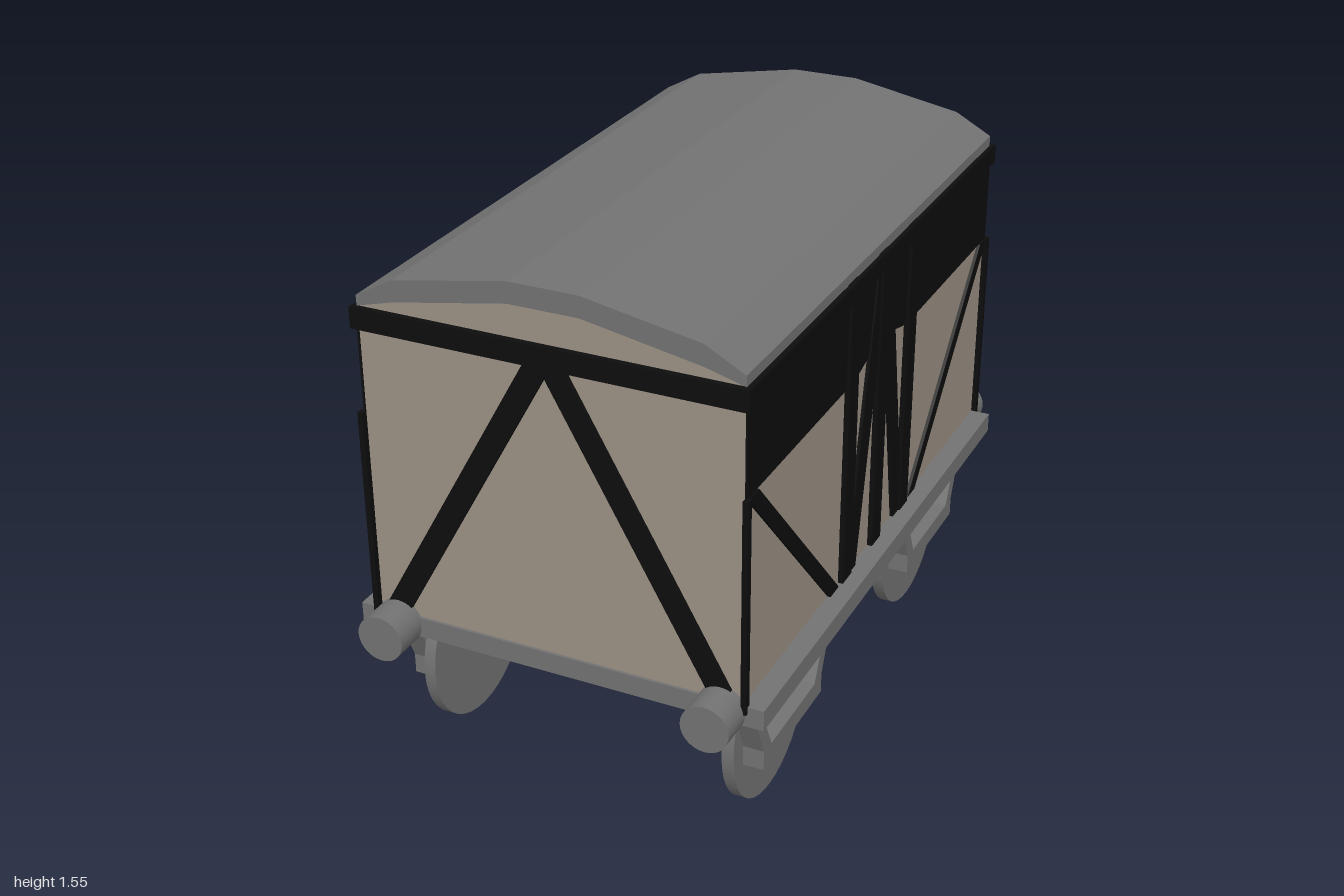
import * as THREE from 'three';

const paint = (name, color) => {
  const m = new THREE.MeshStandardMaterial({ color });
  m.name = name;
  return m;
};

export function createModel() {
  const grey = paint('grey metal', 0x727272);
  const beige = paint('beige planks', 0x9a8f83);
  const black = paint('black framing', 0x0d0d0d);
  const model = new THREE.Group();
  model.name = 'coveredWagon';

  const add = (parent, name, geometry, material, x = 0, y = 0, z = 0) => {
    const mesh = new THREE.Mesh(geometry, material);
    mesh.name = name;
    mesh.position.set(x, y, z);
    parent.add(mesh);
    return mesh;
  };
  const prism = (points, depth) => new THREE.ExtrudeGeometry(
    new THREE.Shape(points.map(([x, y]) => new THREE.Vector2(x, y))),
    { depth, bevelEnabled: false });
  const rect = (x0, x1, y0, y1) => [[x0, y0], [x1, y0], [x1, y1], [x0, y1]];
  // Slanted bar with level ends, running from (x0, y0) up to (x1, y1)
  const slant = (x0, y0, x1, y1, w) =>
    [[x0 - w / 2, y0], [x0 + w / 2, y0], [x1 + w / 2, y1], [x1 - w / 2, y1]];

  // Flat underframe
  add(model, 'underframe', new THREE.BoxGeometry(1.2, 0.06, 1.8), grey, 0, 0.47, 0);

  // Body with faceted gables, and the roof shell resting on it
  const upper = new THREE.Group();
  upper.name = 'vanBody';
  upper.position.z = -0.005;
  model.add(upper);
  const half = 0.897;
  const under = [[0.54, 1.4], [0.43, 1.43], [0.1, 1.49], [-0.1, 1.49], [-0.43, 1.43], [-0.54, 1.4]];
  const over = [[-0.54, 1.43], [-0.43, 1.49], [-0.1, 1.55], [0.1, 1.55], [0.43, 1.49], [0.54, 1.43]];
  add(upper, 'body', prism([[-0.54, 0.5], [0.54, 0.5], ...under], half * 2), beige, 0, 0, -half);
  add(upper, 'roof', prism([...under, ...over], half * 2 + 0.006), grey, 0, 0, -half - 0.003);

  // Framing on both ends
  for (const [name, turn] of [['frontFrame', 0], ['backFrame', Math.PI]]) {
    const end = new THREE.Group();
    end.name = name;
    end.rotation.y = turn;
    upper.add(end);
    add(end, 'headBeam', prism(rect(-0.555, 0.555, 1.34, 1.4), 0.02), black, 0, 0, half - 0.002);
    for (const s of [-1, 1]) {
      add(end, 'endBrace', prism(slant(s * 0.49, 0.5, s * 0.01, 1.36, 0.075), 0.012), black, 0, 0, half - 0.002);
    }
  }

  // Framing on both sides
  for (const [name, turn] of [['leftFrame', Math.PI / 2], ['rightFrame', -Math.PI / 2]]) {
    const side = new THREE.Group();
    side.name = name;
    side.rotation.y = turn;
    upper.add(side);
    const plate = (part, points, depth) =>
      add(side, part, prism(points, depth), black, 0, 0, 0.539);
    plate('upperPanel', [[-0.9, 1.1], [-0.2, 1.1], [0, 1.15], [0.2, 1.1], [0.9, 1.1], [0.9, 1.4], [-0.9, 1.4]], 0.006);
    plate('topRail', rect(-0.91, 0.91, 1.35, 1.4), 0.015);
    plate('centrePost', rect(-0.033, 0.033, 0.5, 1.402), 0.016);
    for (const s of [-1, 1]) {
      plate('doorPost', rect(s * 0.225 - 0.032, s * 0.225 + 0.032, 0.5, 1.402), 0.016);
      plate('doorBrace', slant(s * 0.185, 0.5, s * 0.01, 1.39, 0.07), 0.011);
      plate('sideBrace', slant(s * 0.305, 0.5, s * 0.87, 1.1, 0.06), 0.011);
      plate('cornerPost', rect(s * 0.905 - 0.01, s * 0.905 + 0.01, 0.48, 1.1), 0.016);
    }
  }

  // Buffers, wheels and axle guards at each corner
  const wheel = new THREE.CylinderGeometry(0.252, 0.252, 0.035, 40).rotateZ(Math.PI / 2);
  const buffer = new THREE.CylinderGeometry(0.068, 0.068, 0.11, 28).rotateX(Math.PI / 2);
  const guard = prism([
    [-0.28, 0.445], [-0.2, 0.26], [-0.2, 0.2], [0.2, 0.2], [0.2, 0.26], [0.28, 0.445],
    [0.24, 0.445], [0.15, 0.255], [-0.15, 0.255], [-0.24, 0.445],
  ], 0.06).translate(0, 0, -0.03).rotateY(Math.PI / 2);
  for (const sx of [-1, 1]) {
    for (const sz of [-1, 1]) {
      const z = sz * 0.548 + 0.007;
      add(model, 'buffer', buffer, grey, sx * 0.48, 0.473, sz * 0.945);
      add(model, 'wheel', wheel, grey, sx * 0.458, 0.252, z);
      add(model, 'axleGuard', guard, grey, sx * 0.51, 0, z);
    }
  }
  return model;
}
